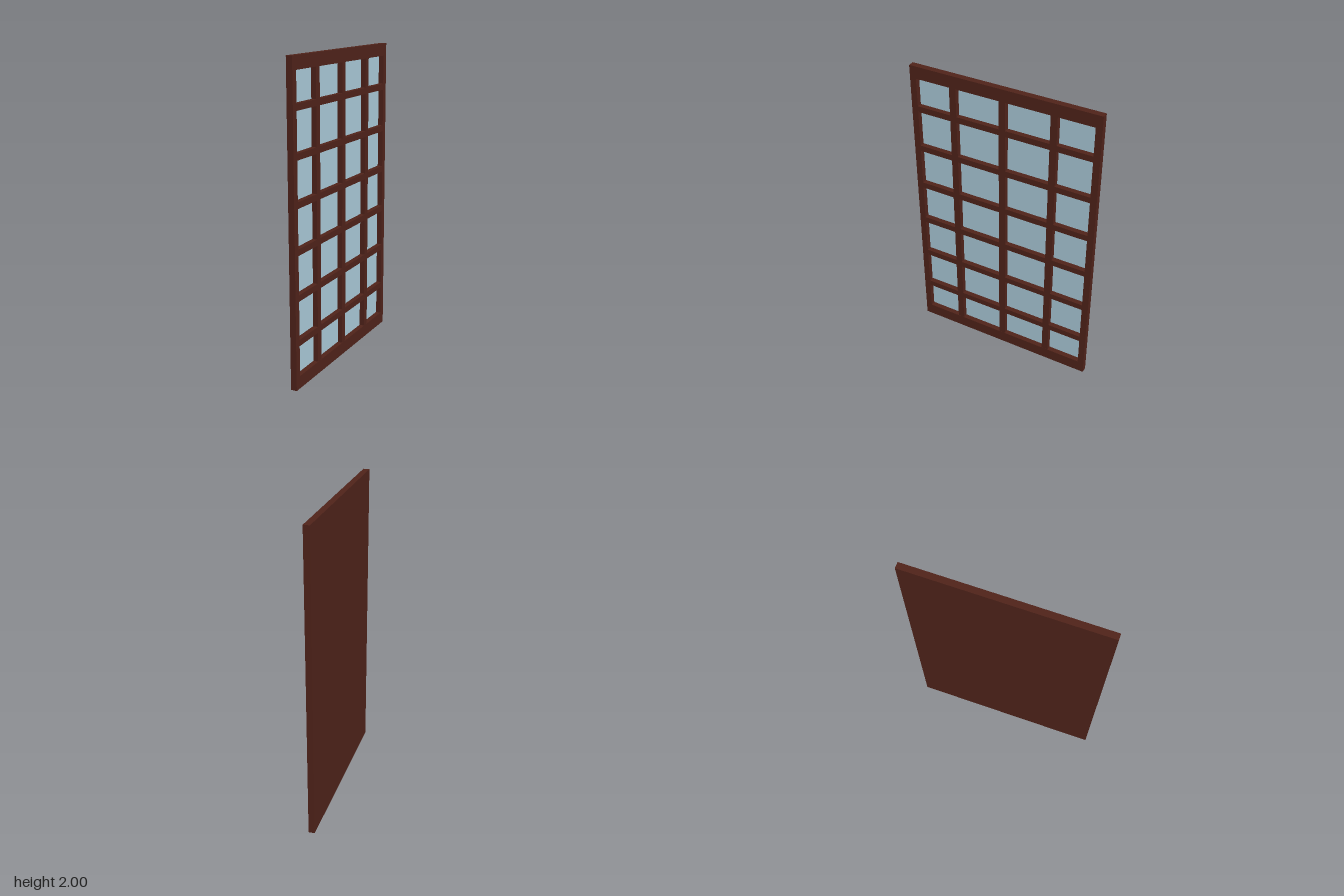
import * as THREE from 'three';

const H = 2, W = 1.254, T = 0.04;      // panel height, width (z), thickness (x)
const RAIL = 0.081, STILE = 0.042;     // frame member widths
const PANE_X = -0.014;                 // face of the recessed panes

export function createModel() {
  const model = new THREE.Group();
  const wood = new THREE.MeshStandardMaterial({ color: 0x50231a });
  const glass = new THREE.MeshStandardMaterial({ color: 0xabcbd9 });

  // Box spanning x0..x1, centred on y and z
  const box = (name, x0, x1, h, w, y, z, material = wood) => {
    const mesh = new THREE.Mesh(new THREE.BoxGeometry(x1 - x0, h, w), material);
    mesh.position.set((x0 + x1) / 2, y, z);
    mesh.name = name;
    model.add(mesh);
  };

  // Outer frame: rails across the full width, stiles between them
  const innerH = H - 2 * RAIL, innerW = W - 2 * STILE;
  box('bottomRail', -T / 2, T / 2, RAIL, W, RAIL / 2, 0);
  box('topRail', -T / 2, T / 2, RAIL, W, H - RAIL / 2, 0);
  for (const s of [-1, 1]) {
    box(s > 0 ? 'frontStile' : 'rearStile', -T / 2, T / 2, innerH, STILE, H / 2, s * (W - STILE) / 2);
  }

  // Solid backing with the pane sheet laid on it
  box('backPanel', -T / 2, PANE_X - 0.003, innerH, innerW, H / 2, 0);
  box('glassPanes', PANE_X - 0.003, PANE_X, innerH, innerW, H / 2, 0, glass);

  // Upright glazing bars
  const barX = T / 2 - 0.001;
  const uprights = [-0.333, 0, 0.333], barW = 0.044;
  for (const z of uprights) box('uprightBar', PANE_X, barX, innerH, barW, H / 2, z);

  // Cross bars, cut into short pieces between the uprights
  const edges = [-innerW / 2, ...uprights.flatMap(z => [z - barW / 2, z + barW / 2]), innerW / 2];
  for (let row = 0; row < 6; row++) {
    const y = 1.003 + (row - 2.5) * 0.2833;
    for (let i = 0; i < edges.length; i += 2) {
      box('crossBar', PANE_X, barX, 0.04, edges[i + 1] - edges[i], y, (edges[i] + edges[i + 1]) / 2);
    }
  }
  return model;
}
